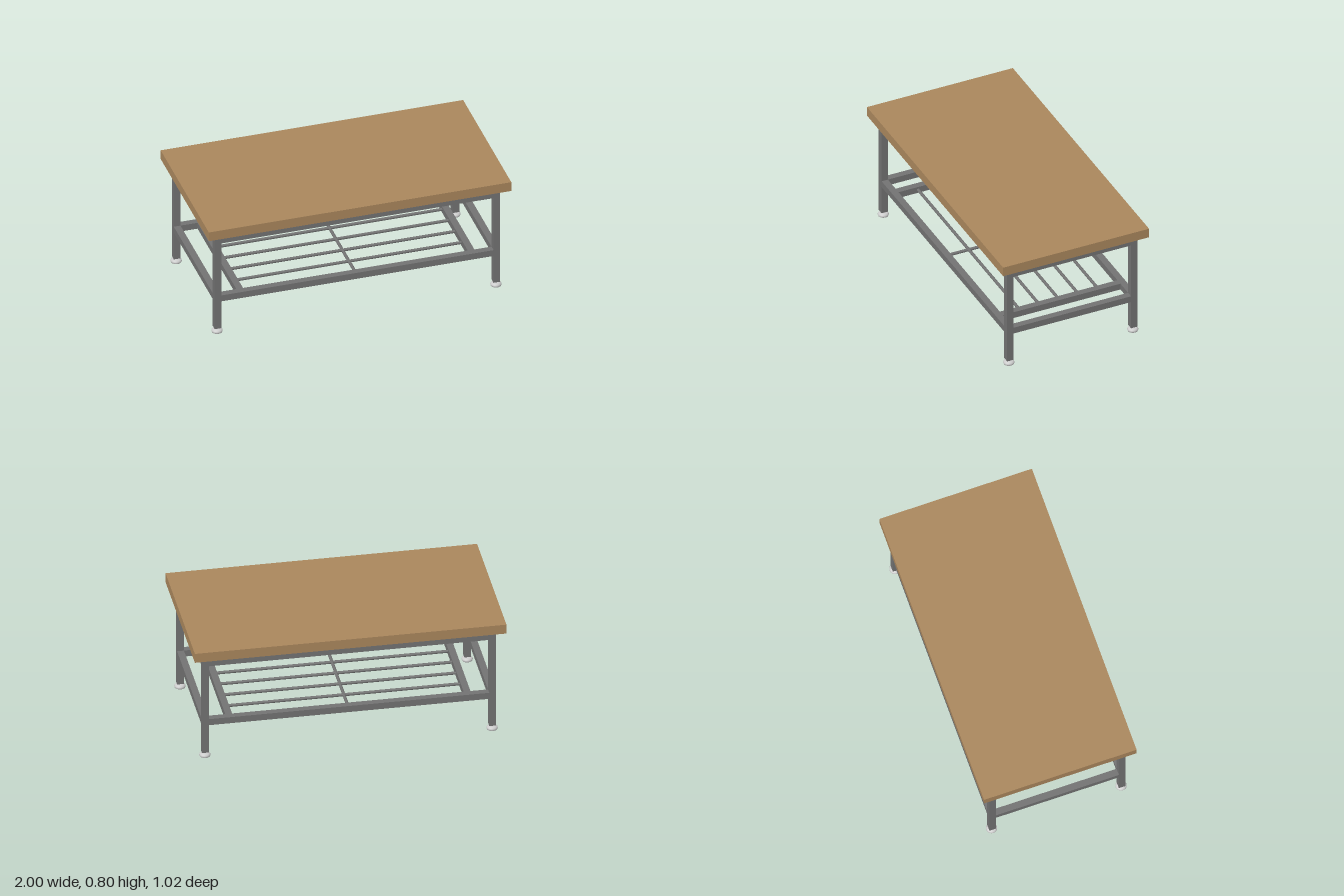
import * as THREE from 'three';

export function createModel() {
  const model = new THREE.Group();
  model.name = 'workTable';
  const wood = new THREE.MeshStandardMaterial({ name: 'wood', color: 0xa9865c });
  const steel = new THREE.MeshStandardMaterial({ name: 'greySteel', color: 0x727272 });
  const pad = new THREE.MeshStandardMaterial({ name: 'paleMetal', color: 0xcccccc });

  const add = (name, geometry, material, x, y, z) => {
    const mesh = new THREE.Mesh(geometry, material);
    mesh.name = name;
    mesh.position.set(x, y, z);
    model.add(mesh);
    return mesh;
  };
  const box = (name, material, w, h, d, x, y, z) =>
    add(name, new THREE.BoxGeometry(w, h, d), material, x, y, z);

  const T = 0.044;               // square tube width
  const LX = 0.922, LZ = 0.433;  // leg centres
  const spanX = 2 * LX - T, spanZ = 2 * LZ - T;
  const shelfY = 0.258;

  // Table top
  box('tableTop', wood, 2, 0.065, 1.02, 0, 0.7685, 0);

  // Legs with levelling feet
  const footProfile = [
    [0, 0], [0.027, 0], [0.033, 0.004], [0.036, 0.012], [0.034, 0.019],
    [0.028, 0.025], [0.018, 0.028], [0, 0.028],
  ].map(([r, y]) => new THREE.Vector2(r, y));
  const footGeometry = new THREE.LatheGeometry(footProfile, 32);
  const stemGeometry = new THREE.CylinderGeometry(0.007, 0.007, 0.02, 16);
  for (const sx of [-1, 1]) {
    for (const sz of [-1, 1]) {
      box('leg', steel, T, 0.7, T, sx * LX, 0.386, sz * LZ);
      add('footPad', footGeometry, pad, sx * LX, 0, sz * LZ);
      add('footStem', stemGeometry, pad, sx * LX, 0.032, sz * LZ);
    }
  }

  // Aprons, lower rails and shelf crossbars
  const crossX = 0.765;
  for (const s of [-1, 1]) {
    box('longApron', steel, spanX, 0.068, T, 0, 0.702, s * LZ);
    box('endApron', steel, T, 0.068, spanZ, s * LX, 0.702, 0);
    box('longRail', steel, spanX, T, T, 0, shelfY, s * LZ);
    box('endRail', steel, T, T, spanZ, s * LX, shelfY, 0);
    box('shelfCrossbar', steel, T, T, spanZ, s * crossX, shelfY, 0);
  }

  // Shelf rods
  const rodGeometry = new THREE.CylinderGeometry(0.01, 0.01, 2 * crossX - T, 16);
  for (let i = -2; i <= 2; i++) {
    add('shelfRod', rodGeometry, steel, 0, shelfY, i * 0.137).rotation.z = Math.PI / 2;
  }
  add('middleRod', new THREE.CylinderGeometry(0.01, 0.01, spanZ, 16), steel, 0, shelfY, 0)
    .rotation.x = Math.PI / 2;

  return model;
}
